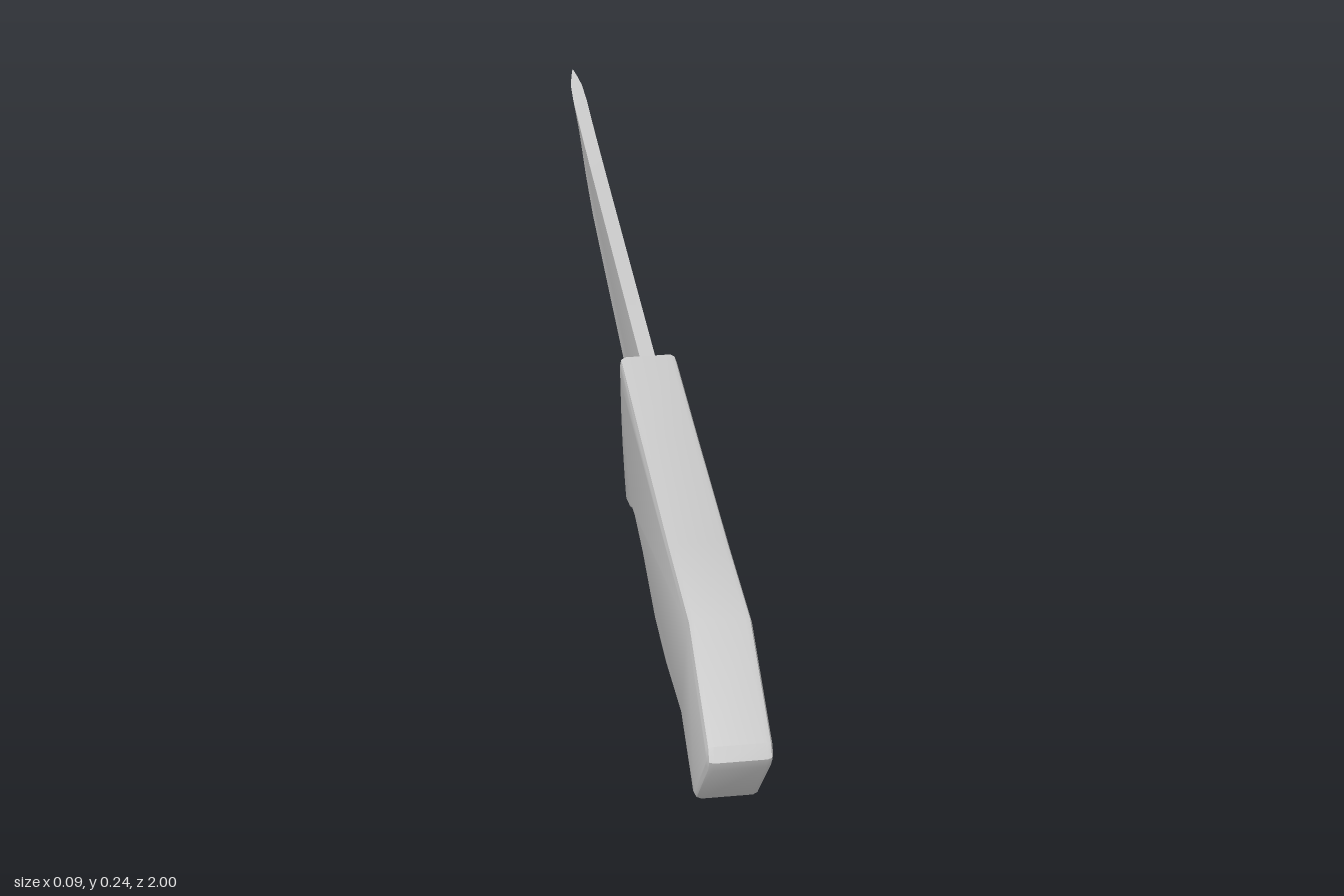
import * as THREE from 'three';
import { toCreasedNormals } from 'three/addons/utils/BufferGeometryUtils.js';

const material = new THREE.MeshStandardMaterial({ color: 0xcccccc });

// Side profile given as [z, y] points
function profile(points) {
  return new THREE.Shape(points.map(([z, y]) => new THREE.Vector2(z, y)));
}

function part(name, geometry, crease) {
  const mesh = new THREE.Mesh(toCreasedNormals(geometry, crease), material);
  mesh.name = name;
  return mesh;
}

// Thick grip with softened side edges
function createHandle() {
  const half = 0.044, bevel = 0.009;
  const outline = profile([
    [0.057, 0.217], [0.061, 0.18], [0.072, 0.125], [0.088, 0.08], [0.113, 0.035], [0.13, 0.012], [0.14, 0.004],
    [0.17, 0.014], [0.205, 0.033], [0.245, 0.041], [0.34, 0.037], [0.4, 0.027], [0.48, 0.015], [0.6, 0.02],
    [0.68, 0.034], [0.755, 0.046], [0.855, 0.008], [0.875, 0], [0.893, 0.01],
    [0.992, 0.132], [1, 0.15], [0.988, 0.168], [0.805, 0.24], [0.6, 0.229], [0.3, 0.221],
  ]);
  const geometry = new THREE.ExtrudeGeometry(outline, {
    depth: 2 * (half - bevel), bevelThickness: bevel, bevelSize: bevel, bevelOffset: -bevel, bevelSegments: 2,
  });
  geometry.translate(0, 0, -(half - bevel)).rotateY(-Math.PI / 2);
  return part('handle', geometry, 0.6);
}

// Blade outline as [z, y, half thickness]: thick spine, sharp edge, hooked notch by the handle
function createBlade() {
  const t = 0.012;
  const outline = [
    [0.15, 0.21, t], [0.05, 0.215, t], [-0.2, 0.211, t], [-0.4, 0.208, t], [-0.6, 0.205, t], [-0.75, 0.204, t],
    [-0.88, 0.206, t], [-0.94, 0.208, 0.01], [-0.975, 0.21, 0.005], [-1, 0.211, 0.0005],
    [-0.97, 0.18, 0], [-0.9, 0.135, 0], [-0.8, 0.1, 0], [-0.69, 0.075, 0], [-0.5, 0.057, 0],
    [-0.3, 0.04, 0], [-0.09, 0.022, 0],
    [-0.078, 0.045, 0.002], [-0.053, 0.066, 0.004], [-0.024, 0.082, 0.006], [0.01, 0.088, 0.009],
    [0.038, 0.083, 0.011], [0.054, 0.065, t], [0.051, 0.046, t], [0.04, 0.035, t], [0.022, 0.038, t],
    [0.023, 0.022, t], [0.038, 0.013, t], [0.15, 0.01, t],
  ];
  const geometry = new THREE.ExtrudeGeometry(profile(outline), { depth: 1, bevelEnabled: false });
  geometry.translate(0, 0, -0.5);
  // Squeeze each outline point to its own thickness
  const pos = geometry.attributes.position;
  for (let i = 0; i < pos.count; i++) {
    const point = outline.find(([z, y]) => Math.hypot(z - pos.getX(i), y - pos.getY(i)) < 1e-4);
    pos.setZ(i, Math.sign(pos.getZ(i)) * point[2]);
  }
  geometry.rotateY(-Math.PI / 2);
  return part('blade', geometry, 0.5);
}

export function createModel() {
  const group = new THREE.Group();
  group.name = 'knife';
  group.add(createHandle(), createBlade());
  return group;
}
